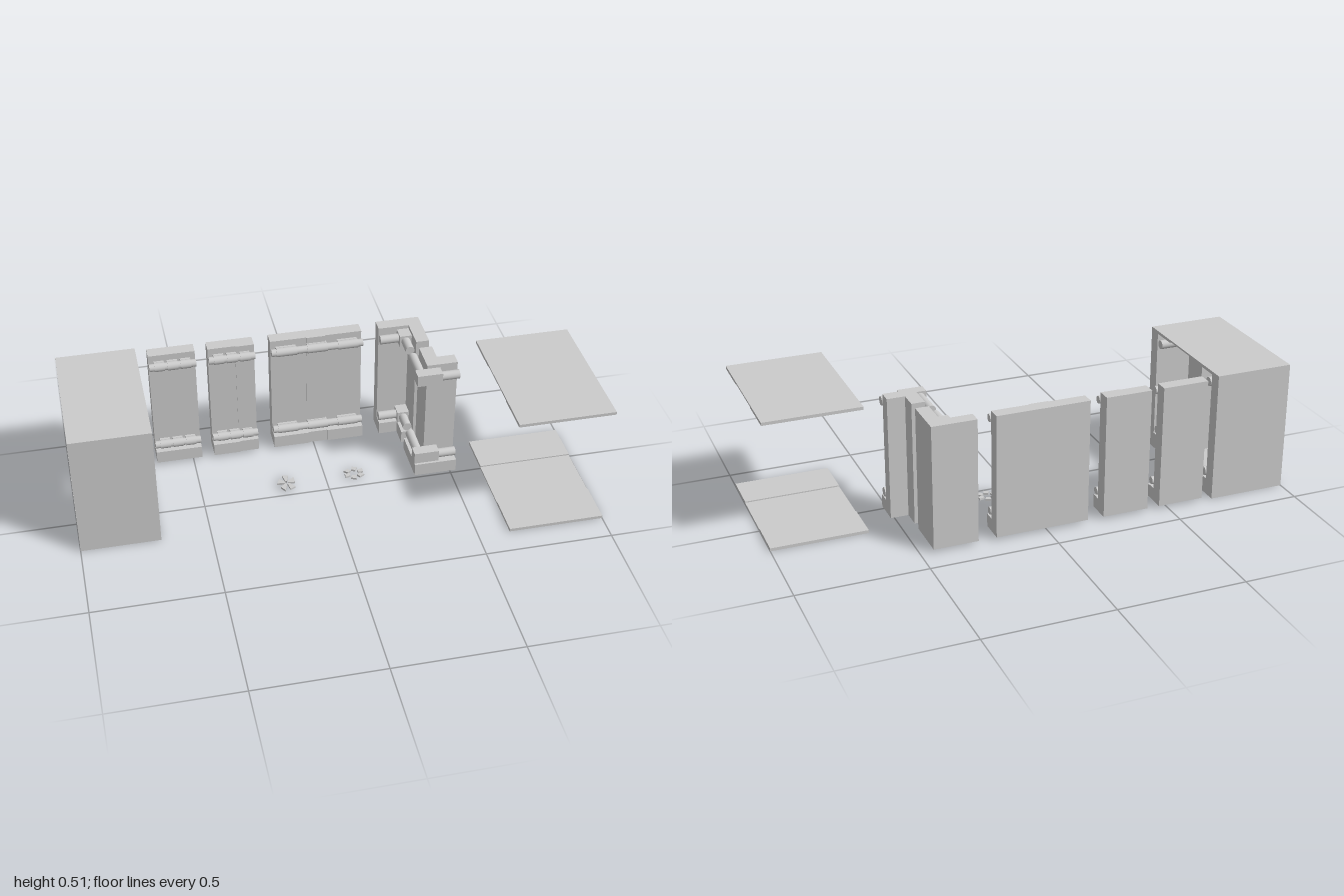
import * as THREE from 'three';

const mat = new THREE.MeshStandardMaterial({ color: 0xcccccc, flatShading: true });
const smooth = new THREE.MeshStandardMaterial({ color: 0xcccccc });
const LOW = 0.012, HIGH = 0.503;
const ROD_Y = [0.087, 0.465];

function group(name, parent) {
  const g = new THREE.Group();
  g.name = name;
  parent.add(g);
  return g;
}

// Box given by its limits on each axis
function box(parent, name, x0, x1, y0, y1, z0, z1) {
  const m = new THREE.Mesh(new THREE.BoxGeometry(x1 - x0, y1 - y0, z1 - z0), mat);
  m.position.set((x0 + x1) / 2, (y0 + y1) / 2, (z0 + z1) / 2);
  m.name = name;
  parent.add(m);
}

// Round rod between two points along x or z
function rod(parent, axis, a, b, y, c, r = 0.018) {
  const m = new THREE.Mesh(new THREE.CylinderGeometry(r, r, b - a, 24), smooth);
  if (axis === 'x') {
    m.rotation.z = Math.PI / 2;
    m.position.set((a + b) / 2, y, c);
  } else {
    m.rotation.x = Math.PI / 2;
    m.position.set(c, y, (a + b) / 2);
  }
  m.name = 'rod';
  parent.add(m);
}

// Flat plate with a shallow channel along x on its inner face
function plate(parent, name, x0, x1, z0, z1, top) {
  const g = group(name, parent);
  const mid = (z0 + z1) / 2, h = 0.115;
  const [a, b] = top ? [0.503, 0.515] : [0, LOW];
  box(g, 'plateEdgeBack', x0, x1, a, b, z0, mid - h);
  box(g, 'plateMiddle', x0, x1, top ? a + 0.005 : a, top ? b : b - 0.005, mid - h, mid + h);
  box(g, 'plateEdgeFront', x0, x1, a, b, mid + h, z1);
}

// Straight wall: thin slab, a foot and two rods; seams are shallow raised strips
function wallPanel(parent, name, x0, x1, seams) {
  const g = group(name, parent);
  box(g, 'slab', x0, x1, LOW, HIGH, -0.395, -0.348);
  const edges = [x0, ...seams, x1];
  for (let i = 0; i < edges.length - 1; i++) {
    const step = i % 2 ? 0.004 : 0;
    box(g, 'facing', edges[i], edges[i + 1], LOW, HIGH, -0.35, -0.344 + step);
    box(g, 'foot', edges[i], edges[i + 1], LOW, 0.064, -0.35, -0.298 - step);
  }
  for (const y of ROD_Y) {
    rod(g, 'x', x0, x1, y, -0.32, 0.015);
    // thicker sleeves at the ends and the middle, held to the slab
    const w = (x1 - x0) * 0.22;
    for (const s of [x0 + 0.02, (x0 + x1 - w) / 2, x1 - 0.02 - w]) {
      rod(g, 'x', s, s + w, y, -0.32);
      box(g, 'rodSupport', s, s + w, y - 0.012, y + 0.012, -0.35, -0.325);
    }
  }
}

// Outer corner: two slabs meeting at right angles
function backCorner(parent) {
  const g = group('backCorner', parent);
  box(g, 'longSlab', 0.275, 0.45, LOW, HIGH, -0.395, -0.344);
  box(g, 'sideSlab', 0.398, 0.45, LOW, HIGH, -0.344, -0.222);
  box(g, 'longFoot', 0.275, 0.398, LOW, 0.064, -0.344, -0.298);
  box(g, 'sideFoot', 0.35, 0.398, LOW, 0.064, -0.298, -0.222);
  for (const y of ROD_Y) {
    rod(g, 'x', 0.275, 0.36, y, -0.32);
    rod(g, 'z', -0.3, -0.222, y, 0.374);
    box(g, 'rodBracket', 0.35, 0.398, y - 0.024, y + 0.024, -0.344, -0.29);
  }
}

// Inner corner: slab turning outward, with brackets on its front
function frontCorner(parent) {
  const g = group('frontCorner', parent);
  box(g, 'sideSlab', 0.398, 0.45, LOW, HIGH, -0.18, -0.107);
  box(g, 'longSlab', 0.398, 0.52, LOW, HIGH, -0.107, -0.055);
  box(g, 'sideFoot', 0.35, 0.398, LOW, 0.064, -0.18, 0);
  box(g, 'longFoot', 0.398, 0.52, LOW, 0.064, -0.055, 0);
  for (const y of ROD_Y) {
    rod(g, 'z', -0.18, -0.05, y, 0.374);
    rod(g, 'x', 0.44, 0.52, y, -0.03);
    box(g, 'rodBracket', 0.35, 0.45, y - 0.024, y + 0.024, -0.055, -0.01);
  }
}

// Assembled unit: open at both ends, with a doorway partition inside
function assembledUnit(parent) {
  const g = group('assembledUnit', parent);
  const x0 = -1, x1 = -0.692;
  plate(g, 'floorPlate', x0, x1, -0.395, 0.16, false);
  plate(g, 'roofPlate', x0, x1, -0.395, 0.16, true);
  box(g, 'frontWall', x0, x1, LOW, HIGH, 0.108, 0.16);
  box(g, 'backWall', x0, x1, LOW, HIGH, -0.395, -0.344);
  box(g, 'frontFoot', x0, x1, LOW, 0.064, 0.056, 0.108);
  box(g, 'backFoot', x0, x1, LOW, 0.064, -0.344, -0.298);
  const p0 = -0.895, p1 = -0.84;
  box(g, 'frontPost', p0, p1, LOW, HIGH, -0.003, 0.108);
  box(g, 'backPost', p0, p1, LOW, HIGH, -0.344, -0.222);
  box(g, 'lintel', p0, p1, 0.417, HIGH, -0.222, -0.003);
  for (const z of [0.083, -0.32]) {
    for (const y of ROD_Y) {
      rod(g, 'x', x0, x1, y, z);
      box(g, 'rodBracket', p0 - 0.03, p1 + 0.03, y - 0.025, y + 0.025, z - 0.025, z + 0.025);
    }
  }
}

// Small flat loose pieces, each a ring of angular chips
function chips(parent, name, cx, y, cz, rx, rz, count, inner) {
  const g = group(name, parent);
  for (let i = 0; i < count; i++) {
    const a = (i / count) * Math.PI * 2 + 0.4, d = Math.PI / count * 0.75;
    const pt = (t, k) => new THREE.Vector2(Math.cos(t) * rx * k, Math.sin(t) * rz * k);
    const shape = new THREE.Shape([pt(a - d, inner), pt(a - d, 0.95), pt(a + d * 0.4, 1.1), pt(a + d, inner + 0.15)]);
    const m = new THREE.Mesh(new THREE.ExtrudeGeometry(shape, { depth: 0.008, bevelEnabled: false }), mat);
    m.rotation.x = -Math.PI / 2;
    m.position.set(cx, y, cz);
    m.name = 'chip';
    g.add(m);
  }
}

export function createModel() {
  const root = new THREE.Group();
  root.name = 'modularWallKit';
  assembledUnit(root);
  wallPanel(root, 'narrowPanel', -0.648, -0.464, []);
  wallPanel(root, 'seamedPanel', -0.414, -0.23, [-0.305]);
  wallPanel(root, 'widePanel', -0.165, 0.204, [-0.02, 0.056]);
  backCorner(root);
  frontCorner(root);
  plate(root, 'looseFloorPlate', 0.625, 1, -0.165, 0.395, false);
  plate(root, 'looseRoofPlate', 0.625, 1, -0.165, 0.395, true);
  chips(root, 'looseChipsRight', -0.162, 0.012, -0.055, 0.035, 0.045, 5, 0.15);
  chips(root, 'looseChipsLeft', 0.115, 0.006, -0.067, 0.04, 0.035, 6, 0.45);
  return root;
}
